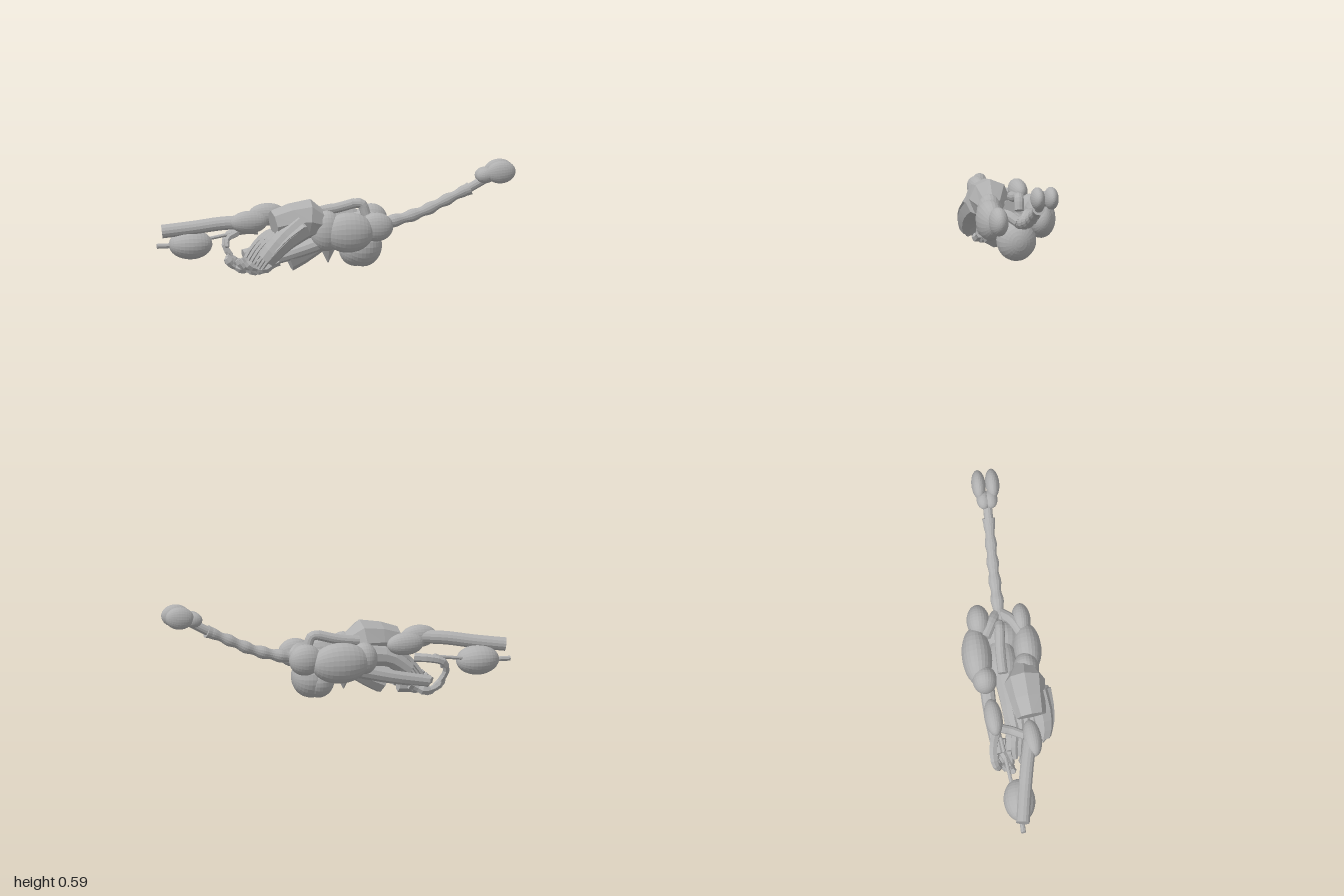
import * as THREE from 'three';

export function createModel() {
  const model = new THREE.Group();
  const grey = new THREE.MeshStandardMaterial({ color: 0xb0b0b0, flatShading: true, side: THREE.DoubleSide });
  grey.name = 'plain grey';

  const add = (name, geometry) => {
    const mesh = new THREE.Mesh(geometry, grey);
    mesh.name = name;
    model.add(mesh);
    return mesh;
  };

  // Ellipsoid with its poles along x
  const ball = (name, c, r, tilt = 0, turn = 0) => {
    const g = new THREE.SphereGeometry(1, 24, 16).rotateZ(Math.PI / 2).scale(...r);
    const m = add(name, g);
    m.position.set(...c);
    m.rotation.set(0, turn, tilt);
  };

  // Capped tube along a path; radius is a function of t, squash flattens one axis
  const loft = (name, pts, radius, sides = 12, n = 16, squash = 1) => {
    const curve = new THREE.CatmullRomCurve3(pts.map(p => new THREE.Vector3(...p)));
    const f = curve.computeFrenetFrames(n);
    const pos = [], idx = [], cols = sides + 1;
    for (let k = -1; k <= n + 1; k++) {
      const i = Math.min(n, Math.max(0, k)), t = i / n;
      const r = k === i ? radius(t) : 0, p = curve.getPointAt(t);
      for (let s = 0; s <= sides; s++) {
        const a = s / sides * Math.PI * 2;
        const v = p.clone().addScaledVector(f.normals[i], -Math.cos(a) * r)
          .addScaledVector(f.binormals[i], Math.sin(a) * r * squash);
        pos.push(v.x, v.y, v.z);
      }
    }
    for (let k = 0; k < n + 2; k++) for (let s = 0; s < sides; s++) {
      const a = k * cols + s, b = a + cols;
      idx.push(a, b, a + 1, b, b + 1, a + 1);
    }
    const g = new THREE.BufferGeometry();
    g.setAttribute('position', new THREE.Float32BufferAttribute(pos, 3));
    g.setIndex(idx);
    g.computeVertexNormals();
    add(name, g);
  };
  const even = r => () => r;
  const taper = (a, b) => t => a + (b - a) * t;

  // Long beaded neck, collar and thin tip
  loft('neck', [[0.2, 0.25, -0.01], [0.33, 0.272, -0.011], [0.48, 0.315, -0.013], [0.6, 0.369, -0.013], [0.74, 0.435, -0.011]],
    t => 0.034 - 0.006 * t + 0.004 * Math.sin(t * Math.PI * 11), 14, 48);
  loft('neckCollar', [[0.72, 0.425, -0.011], [0.75, 0.437, -0.011]], taper(0.031, 0.036), 16, 2);
  loft('neckTip', [[0.73, 0.43, -0.011], [0.84, 0.49, -0.01]], even(0.025), 12, 4);

  // Twin bulbs at the head
  for (const s of [1, -1]) {
    ball('headBulb', [0.918, 0.529, -0.01 + s * 0.038], [0.081, 0.063, 0.039], 0.08);
    ball('headBase', [0.835, 0.51, -0.01 + s * 0.02], [0.053, 0.043, 0.038], 0.1);
  }

  // Belly and core
  ball('belly', [0.147, 0.142, -0.002], [0.108, 0.118, 0.11]);
  ball('core', [0.0, 0.19, -0.02], [0.14, 0.07, 0.08]);
  ball('lowerCore', [0.11, 0.125, -0.02], [0.09, 0.1, 0.1]);
  loft('bellySpike', [[-0.05, 0.14, 0.02], [-0.05, 0.055, 0.02]], taper(0.045, 0.003), 8, 3);

  // Side pods
  ball('leftMidPod', [0.045, 0.235, 0.125], [0.14, 0.112, 0.076]);
  ball('leftRearPod', [-0.075, 0.245, 0.105], [0.088, 0.113, 0.07]);
  ball('leftFrontPod', [0.205, 0.258, 0.107], [0.093, 0.08, 0.053]);
  ball('rightMidPod', [0.025, 0.24, -0.157], [0.165, 0.114, 0.083]);
  ball('rightRearPod', [-0.12, 0.25, -0.13], [0.075, 0.09, 0.068]);
  ball('rightFrontPod', [0.218, 0.265, -0.128], [0.092, 0.088, 0.064]);
  for (const s of [1, -1])
    loft('podLink', [[0.25, 0.26, -0.01 + s * 0.015], [0.2, 0.29, s * 0.055], [0.12, 0.28, s * 0.1]], even(0.03), 10, 8);

  // Bent pipe along the back
  loft('topPipe', [[-0.12, 0.33, -0.03], [0, 0.347, -0.03], [0.11, 0.375, -0.022]], even(0.028), 12, 8);
  loft('topPipeElbow', [[0.09, 0.372, -0.022], [0.145, 0.37, -0.018], [0.17, 0.31, -0.015]], even(0.027), 12, 8);

  // Tail pipe with its two swellings and the arch between them
  loft('tailPipe', [[-0.973, 0.25, -0.015], [-0.8, 0.272, 0.015], [-0.65, 0.295, 0.045], [-0.5, 0.305, 0.08]],
    even(0.038), 14, 14);
  ball('leftTailSwelling', [-0.505, 0.305, 0.09], [0.106, 0.063, 0.05], 0, 0.08);
  ball('rightTailSwelling', [-0.365, 0.312, -0.11], [0.106, 0.063, 0.05], 0, 0.05);
  loft('tailArch', [[-0.48, 0.29, 0.05], [-0.44, 0.28, -0.02], [-0.42, 0.295, -0.08], [-0.34, 0.31, -0.11]], even(0.025), 10, 12);

  // Tail ball on its rod
  ball('tailBall', [-0.812, 0.174, -0.016], [0.121, 0.083, 0.087]);
  loft('tailRod', [[-1, 0.169, -0.015], [-0.8, 0.172, -0.018]], even(0.014), 8, 2);
  loft('tailStem', [[-0.75, 0.19, -0.045], [-0.46, 0.235, -0.08]], even(0.01), 8, 2);

  // Faceted scoops
  loft('upperScoop', [[-0.08, 0.28, 0.09], [-0.17, 0.31, 0.085], [-0.27, 0.305, 0.09], [-0.37, 0.285, 0.1]],
    t => t < 0.1 ? 0.06 : 0.128 - 0.045 * t, 8, 3);
  loft('sideScoop', [[-0.22, 0.28, 0.135], [-0.31, 0.22, 0.16], [-0.38, 0.15, 0.165], [-0.42, 0.1, 0.155]],
    taper(0.08, 0.05), 8, 5);
  loft('lowerScoop', [[-0.06, 0.2, 0.02], [-0.17, 0.14, 0.03], [-0.28, 0.098, 0.03]], taper(0.05, 0.085), 9, 3);
  loft('spine', [[-0.1, 0.24, -0.01], [-0.3, 0.22, 0], [-0.42, 0.14, 0]], taper(0.07, 0.045), 9, 6);

  // Folded ribs fanning over the scoops
  for (let i = 0; i < 7; i++) {
    const z = 0.195 - i * 0.034, x = -0.34 - i * 0.014;
    loft('foldedRib', [[x + 0.12, 0.29 - i * 0.006, z], [x + 0.02, 0.22, z + 0.012], [x - 0.06, 0.13, z], [x - 0.1, 0.055, z * 0.75]],
      t => 0.03 * (1 - 0.45 * t), 5, 7, 0.6);
  }

  // Arms reaching back to the claws
  loft('rightArm', [[-0.06, 0.19, -0.12], [-0.28, 0.135, -0.115], [-0.5, 0.09, -0.095]], taper(0.042, 0.034), 10, 8);
  loft('leftArm', [[-0.06, 0.19, 0.09], [-0.28, 0.12, 0.09], [-0.46, 0.07, 0.08]], taper(0.042, 0.032), 10, 8);

  // Curled claws, each with lumpy knuckles
  for (const s of [1, -1]) for (let i = 0; i < 3; i++) {
    const z = s * (0.035 + i * 0.038), x = (s > 0 ? -0.45 : -0.5) + i * 0.012, y = 0.018 + i * 0.01;
    loft('claw', [[x + 0.08, y + 0.045, z * 0.9], [x, y + 0.005, z], [x - 0.07, y + 0.022, z * 0.95], [x - 0.11, y + 0.07, z * 0.85]],
      t => 0.025 * (1 - 0.3 * t) + 0.006 * Math.sin(t * 16 + i), 6, 9);
  }
  loft('clawArch', [[-0.42, 0.23, -0.1], [-0.5, 0.225, -0.125], [-0.58, 0.2, -0.13], [-0.6, 0.14, -0.11], [-0.57, 0.09, -0.1]],
    t => 0.026 - 0.008 * t, 6, 9);
  loft('clawHook', [[-0.54, 0.22, -0.08], [-0.6, 0.19, -0.05], [-0.605, 0.15, -0.03]], taper(0.022, 0.014), 6, 6);
  loft('clawPalm', [[-0.36, 0.07, 0], [-0.48, 0.055, -0.01]], taper(0.05, 0.04), 7, 3);

  // Rest on the ground, centred
  const box = new THREE.Box3().setFromObject(model);
  const mid = box.getCenter(new THREE.Vector3());
  for (const m of model.children) m.position.sub(new THREE.Vector3(mid.x, box.min.y, mid.z));
  return model;
}
